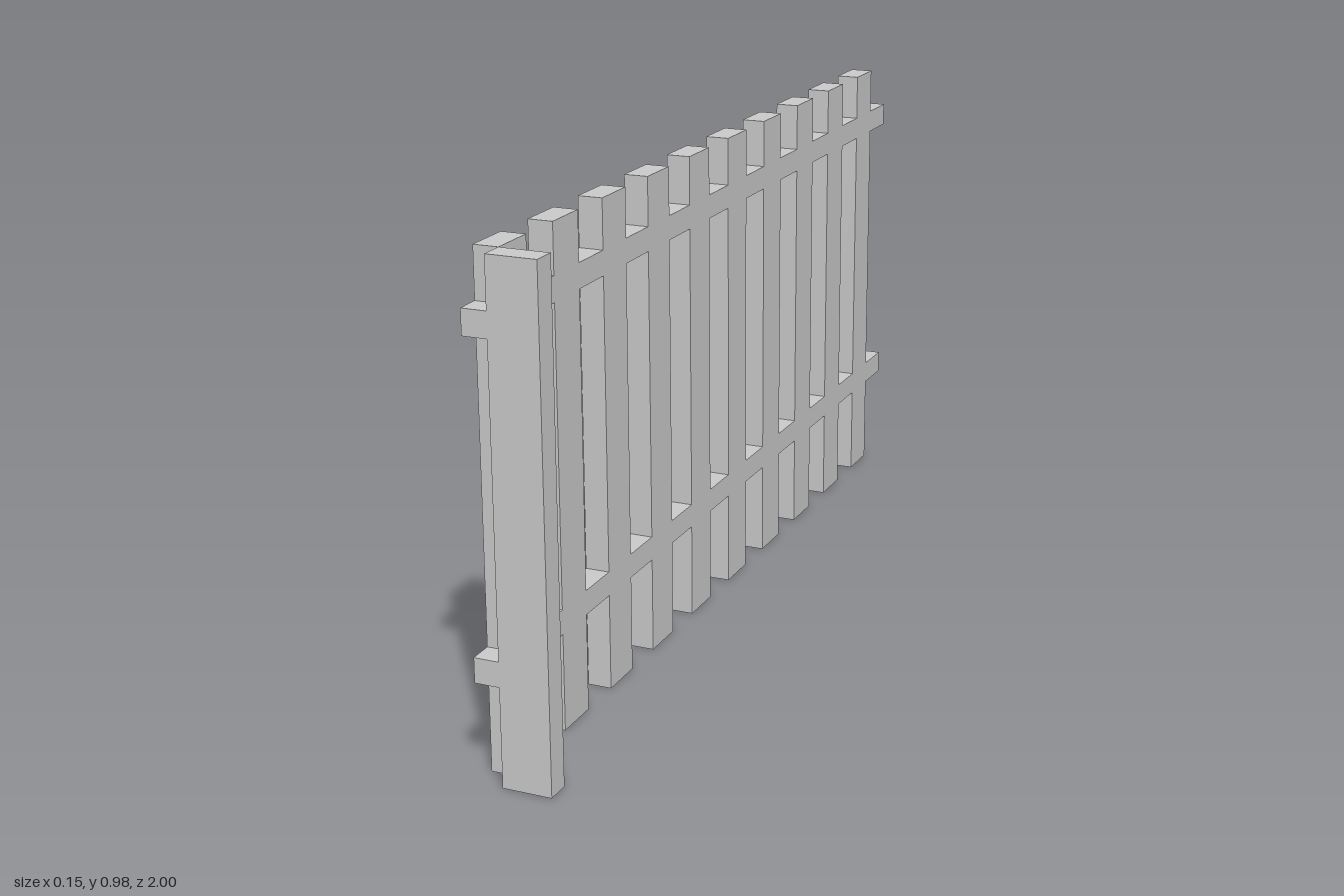
import * as THREE from 'three';

const U = 2 / 41;          // board thickness, the module of the whole fence
const PICKETS = 10;
const LENGTH = 41, HEIGHT = 20;
const LOW = [4, 5], HIGH = [17, 18];   // bottom and top of each rail
const start = i => 2 + 4 * i;          // near edge of a picket
const end = i => start(i) + 2;         // far edge of a picket

const points = list => list.map(([s, y]) => new THREE.Vector2(s * U, y * U));

// Pickets and rails are flush, so they form one cut-out panel.
function panelShape() {
  const outline = [[0, LOW[0]]];
  // picket feet
  for (let i = 0; i < PICKETS; i++) {
    outline.push([start(i), LOW[0]], [start(i), 0], [end(i), 0], [end(i), LOW[0]]);
  }
  // rail ends on the far side
  const last = end(PICKETS - 1);
  outline.push([LENGTH, LOW[0]], [LENGTH, LOW[1]], [last, LOW[1]],
    [last, HIGH[0]], [LENGTH, HIGH[0]], [LENGTH, HIGH[1]]);
  // picket tops
  for (let i = PICKETS - 1; i >= 0; i--) {
    outline.push([end(i), HIGH[1]], [end(i), HEIGHT], [start(i), HEIGHT], [start(i), HIGH[1]]);
  }
  // rail ends on the near side
  outline.push([0, HIGH[1]], [0, HIGH[0]], [start(0), HIGH[0]], [start(0), LOW[1]], [0, LOW[1]]);

  const shape = new THREE.Shape(points(outline));
  // gaps between neighbouring pickets
  for (let i = 0; i < PICKETS - 1; i++) {
    const a = end(i), b = start(i + 1);
    shape.holes.push(new THREE.Path(points([[a, LOW[1]], [a, HIGH[0]], [b, HIGH[0]], [b, LOW[1]]])));
  }
  return shape;
}

export function createModel() {
  const fence = new THREE.Group();
  fence.name = 'picketFence';
  const material = new THREE.MeshStandardMaterial({ color: 0xcccccc, flatShading: true });

  // panel of pickets and rails, running along z
  const panelGeometry = new THREE.ExtrudeGeometry(panelShape(), { depth: U, bevelEnabled: false });
  panelGeometry.rotateY(-Math.PI / 2);
  panelGeometry.translate(-U / 2, 0, -1);
  const panel = new THREE.Mesh(panelGeometry, material);
  panel.name = 'picketsAndRails';
  fence.add(panel);

  // corner post, set across the front end of the panel
  const post = new THREE.Mesh(new THREE.BoxGeometry(2 * U, HEIGHT * U, U), material);
  post.name = 'cornerPost';
  post.position.set(U / 2, HEIGHT * U / 2, 1 - U / 2);
  fence.add(post);

  return fence;
}
